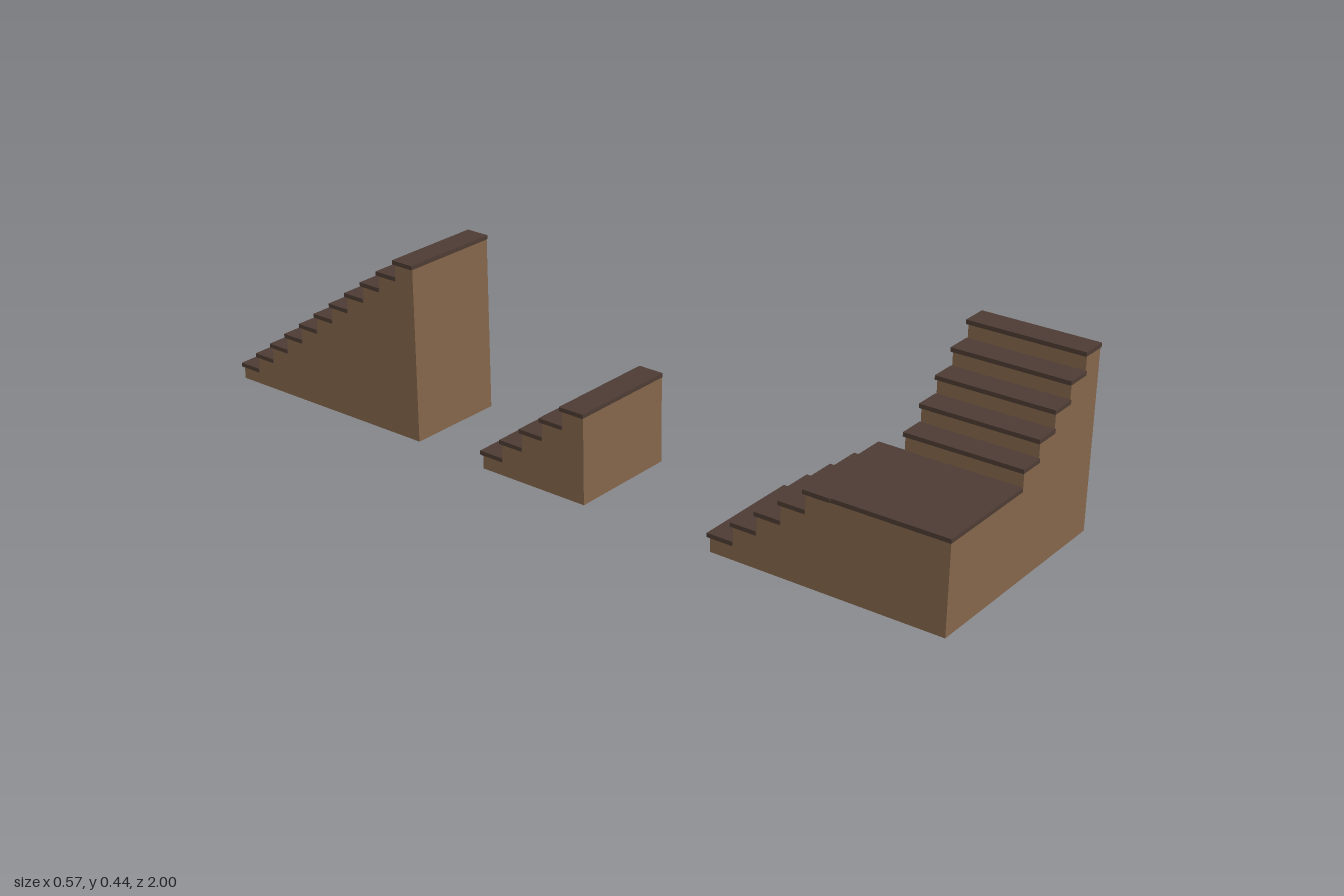
import * as THREE from 'three';

const wood = new THREE.MeshStandardMaterial({ color: 0x85664a });
const darkWood = new THREE.MeshStandardMaterial({ color: 0x4e3c34 });
const THICK = 0.01;   // tread thickness
const NOSE = 0.007;   // tread overhang in front of the riser
const SIDE = 0.0025;  // tread overhang at each side

function box(name, material, size, position) {
  const mesh = new THREE.Mesh(new THREE.BoxGeometry(...size), material);
  mesh.name = name;
  mesh.position.set(...position);
  return mesh;
}

// A solid flight climbing along +x from x = 0, centred on z = 0
function flight(name, { steps, run, rise, width, base = 0 }) {
  const group = new THREE.Group();
  group.name = name;

  // Stepped body, solid down to the floor
  const profile = new THREE.Shape();
  profile.moveTo(0, 0);
  profile.lineTo(steps * run, 0);
  for (let i = steps; i >= 1; i--) {
    const y = base + i * rise - THICK;
    profile.lineTo(i * run, y);
    profile.lineTo((i - 1) * run, y);
  }
  profile.closePath();
  const geometry = new THREE.ExtrudeGeometry(profile, { depth: width, bevelEnabled: false });
  geometry.translate(0, 0, -width / 2);
  const body = new THREE.Mesh(geometry, wood);
  body.name = 'steppedBody';
  group.add(body);

  // Overhanging treads
  for (let i = 0; i < steps; i++) {
    group.add(box('tread', darkWood,
      [run + NOSE, THICK, width + 2 * SIDE],
      [(i + 0.5) * run - NOSE / 2, base + (i + 1) * rise - THICK / 2, 0]));
  }
  return group;
}

export function createModel() {
  const model = new THREE.Group();
  model.name = 'staircases';
  const RISE = 0.0435, RUN = 0.0583, WIDTH = 0.276;
  const left = -0.2835, front = 0.9975;
  const midX = left + WIDTH / 2, midZ = front - WIDTH / 2;

  // Places a flight so that it climbs towards +z
  const addForward = (stairs, x, z) => {
    stairs.rotation.y = -Math.PI / 2;
    stairs.position.set(x, 0, z);
    model.add(stairs);
  };

  // Long straight staircase at the back
  addForward(flight('longStaircase', { steps: 11, run: 0.053, rise: 0.0394, width: 0.249 }), -0.147, -0.993);

  // Short straight staircase in the middle
  const short = { steps: 5, run: RUN, rise: RISE, width: WIDTH };
  addForward(flight('shortStaircase', short), midX, 0.09 - 5 * RUN);

  // Corner staircase: lower flight, landing, upper flight turned towards +x
  addForward(flight('lowerFlight', short), midX, front - WIDTH - 5 * RUN);
  const top = 5 * RISE;
  model.add(box('landingBody', wood, [WIDTH, top - THICK, WIDTH], [midX, (top - THICK) / 2, midZ]));
  model.add(box('landingFloor', darkWood, [WIDTH, THICK, WIDTH], [midX, top - THICK / 2, midZ]));
  const upper = flight('upperFlight', { ...short, base: top });
  upper.position.set(left + WIDTH, 0, midZ);
  model.add(upper);

  return model;
}
